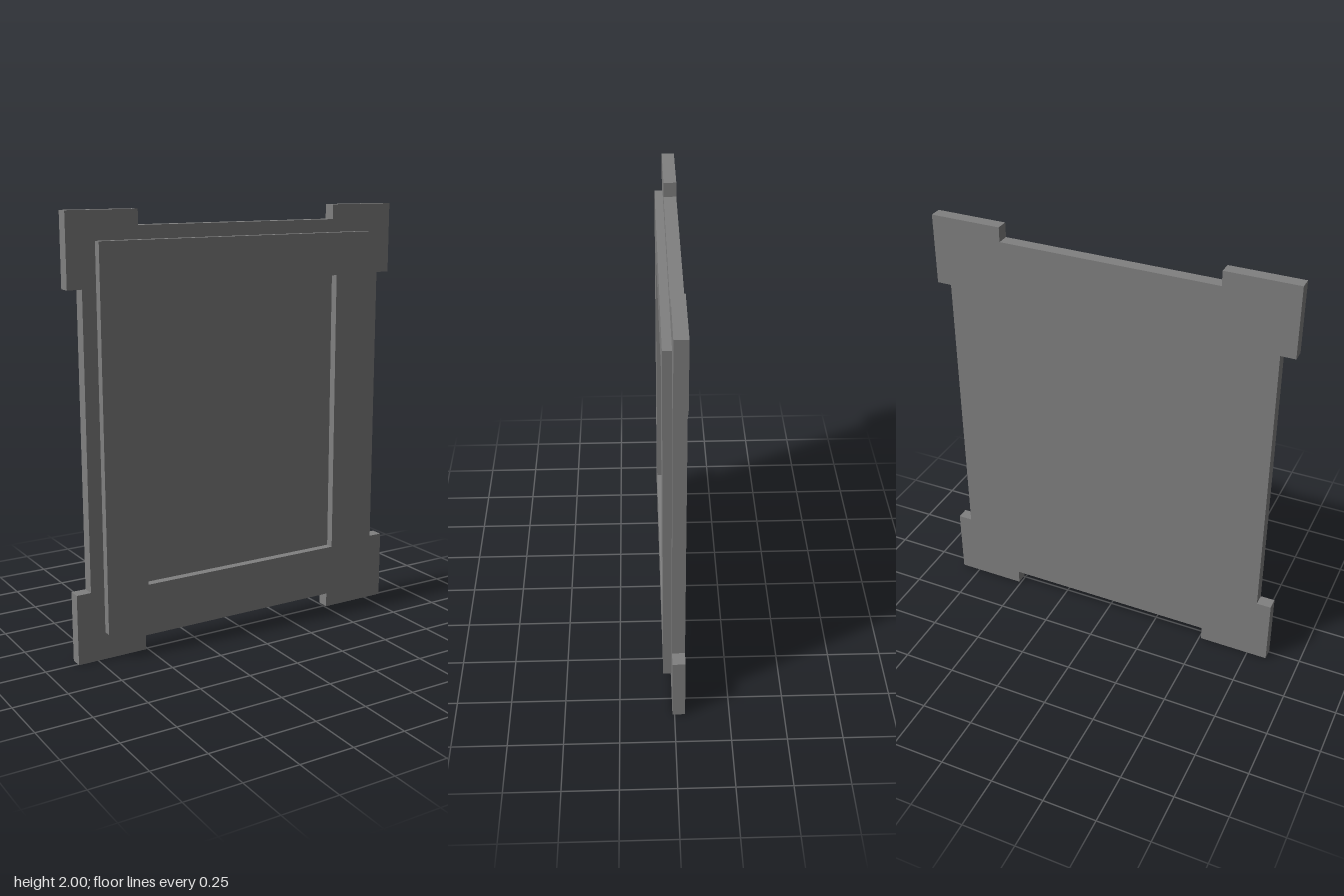
import * as THREE from 'three';

const BACK = -0.048, STEP = 0.01, FRONT = 0.048;

// Rectangle centred on the panel, traced on a Shape or Path
function rect(path, halfW, halfH) {
  path.moveTo(-halfW, 1 - halfH);
  path.lineTo(halfW, 1 - halfH);
  path.lineTo(halfW, 1 + halfH);
  path.lineTo(-halfW, 1 + halfH);
  path.closePath();
  return path;
}

function slab(name, shape, z0, z1, material) {
  const geometry = new THREE.ExtrudeGeometry(shape, { depth: z1 - z0, bevelEnabled: false });
  geometry.translate(0, 0, z0);
  const mesh = new THREE.Mesh(geometry, material);
  mesh.name = name;
  return mesh;
}

export function createModel() {
  const group = new THREE.Group();
  group.name = 'framedPanel';
  const grey = new THREE.MeshStandardMaterial({ color: 0x808080 });
  grey.name = 'grey';

  // Backing plate with projecting corners: one corner mirrored to all four
  const corner = [[0.845, 0.672], [0.845, 1], [0.51, 1], [0.51, 0.932]];
  const quarter = [[0.777, 0.672], ...corner];
  const outline = [];
  for (const [sx, sy] of [[1, 1], [-1, 1], [-1, -1], [1, -1]]) {
    const pts = quarter.map(([x, y]) => new THREE.Vector2(sx * x, 1 + sy * y));
    outline.push(...(sx * sy > 0 ? pts : pts.reverse()));
  }
  group.add(slab('backingPlate', new THREE.Shape(outline), BACK, STEP, grey));

  // Raised frame around the recessed centre
  const frame = rect(new THREE.Shape(), 0.712, 0.872);
  frame.holes.push(rect(new THREE.Path(), 0.51, 0.673));
  group.add(slab('raisedFrame', frame, STEP, FRONT, grey));

  return group;
}
